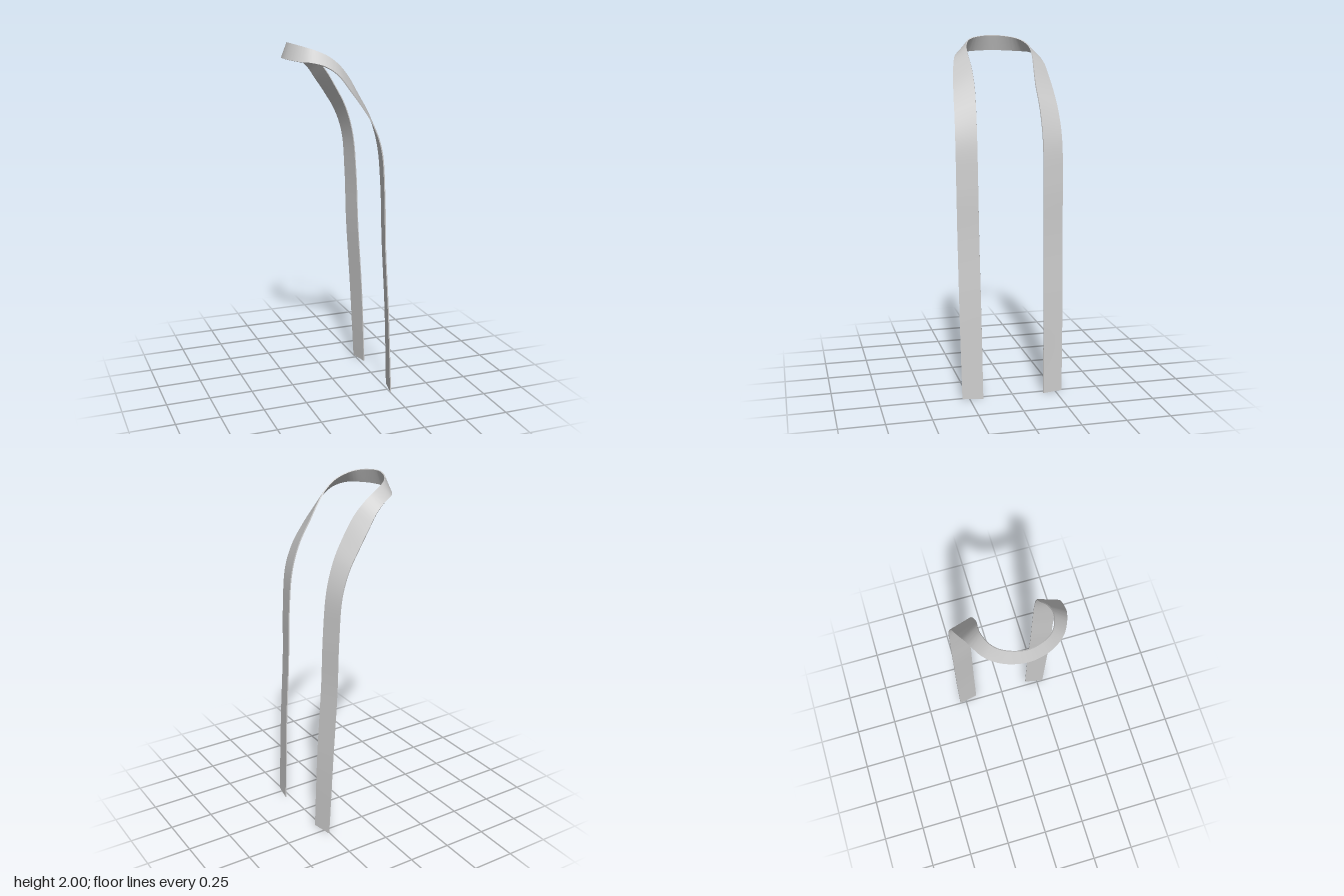
import * as THREE from 'three';
import { toCreasedNormals } from 'three/addons/utils/BufferGeometryUtils.js';

// Stations from the top of the loop down one leg: outer edge xyz, inner edge xyz
const STATIONS = [
  [-0.283, 1.915, 0, -0.255, 2.0, 0],
  [-0.267, 1.913, 0.09, -0.238, 1.995, 0.075],
  [-0.235, 1.91, 0.155, -0.205, 1.985, 0.13],
  [-0.19, 1.908, 0.205, -0.16, 1.97, 0.163],
  [-0.12, 1.888, 0.242, -0.09, 1.938, 0.184],
  [-0.06, 1.845, 0.262, -0.03, 1.892, 0.185],
  [0, 1.767, 0.276, 0.025, 1.828, 0.178],
  [0.063, 1.68, 0.287, 0.085, 1.73, 0.174],
  [0.127, 1.577, 0.295, 0.15, 1.61, 0.18],
  [0.175, 1.44, 0.301, 0.198, 1.45, 0.185],
  [0.196, 1.2, 0.302, 0.222, 1.21, 0.186],
  [0.206, 0.9, 0.3, 0.235, 0.9, 0.184],
  [0.233, 0.47, 0.297, 0.262, 0.47, 0.18],
  [0.257, 0, 0.29, 0.28, 0, 0.175],
];
const THICKNESS = 0.006;
const SEGMENTS = 208;

// Full edge curve: mirrored leg, loop, leg
function edgeCurve(offset) {
  const half = STATIONS.map((s) => new THREE.Vector3(...s.slice(offset, offset + 3)));
  const mirrored = half.slice(1).reverse().map((p) => new THREE.Vector3(p.x, p.y, -p.z));
  return new THREE.CatmullRomCurve3([...mirrored, ...half]);
}

// Thin rectangular section swept between the two edge curves
function strapGeometry() {
  const outer = edgeCurve(0), inner = edgeCurve(3);
  const positions = [], index = [];
  for (let i = 0; i <= SEGMENTS; i++) {
    const t = i / SEGMENTS;
    const a = outer.getPoint(t), b = inner.getPoint(t);
    const tangent = outer.getTangent(t).add(inner.getTangent(t));
    const inward = tangent.cross(b.clone().sub(a)).setLength(-THICKNESS);
    for (const p of [a, b, b.clone().add(inward), a.clone().add(inward)]) {
      positions.push(p.x, Math.max(0, p.y), p.z);
    }
  }
  for (let i = 0; i < SEGMENTS; i++) {
    for (let j = 0; j < 4; j++) {
      const a = i * 4 + j, b = i * 4 + (j + 1) % 4;
      index.push(a, a + 4, b, b, a + 4, b + 4);
    }
  }
  // End caps at the feet
  const e = SEGMENTS * 4;
  index.push(0, 1, 2, 0, 2, 3, e, e + 2, e + 1, e, e + 3, e + 2);
  const geometry = new THREE.BufferGeometry();
  geometry.setAttribute('position', new THREE.Float32BufferAttribute(positions, 3));
  geometry.setIndex(index);
  return toCreasedNormals(geometry, 0.7);
}

export function createModel() {
  const group = new THREE.Group();
  group.name = 'loopedStrap';
  const material = new THREE.MeshStandardMaterial({ color: 0xcccccc, side: THREE.DoubleSide });
  const strap = new THREE.Mesh(strapGeometry(), material);
  strap.name = 'strap';
  group.add(strap);
  return group;
}
